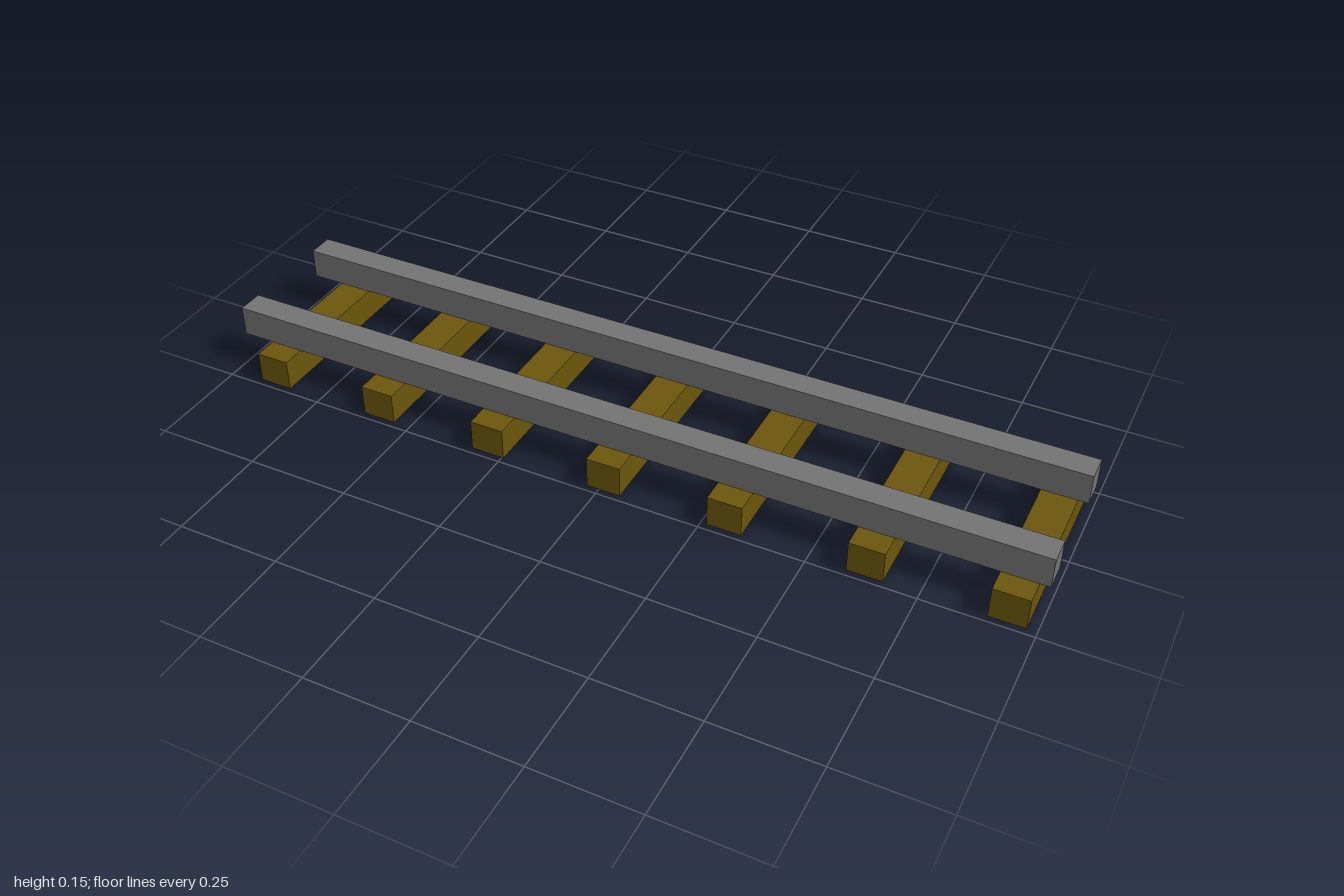
import * as THREE from 'three';

export function createModel() {
  const track = new THREE.Group();
  track.name = 'railwayTrack';

  const wood = new THREE.MeshStandardMaterial({ color: 0x6b560c, flatShading: true });
  const steel = new THREE.MeshStandardMaterial({ color: 0x737373, flatShading: true });

  const addPart = (name, geometry, material, x, y, z) => {
    const mesh = new THREE.Mesh(geometry, material);
    mesh.name = name;
    mesh.position.set(x, y, z);
    track.add(mesh);
  };

  // Wooden sleepers, slightly unevenly spaced along the track
  const sleeper = new THREE.BoxGeometry(0.082, 0.076, 0.468);
  [-0.88, -0.583, -0.287, 0.011, 0.305, 0.628, 0.936].forEach((x, i) =>
    addPart(`sleeper${i + 1}`, sleeper, wood, x, 0.038, 0));

  // Two square rails resting on the sleepers
  const rail = new THREE.BoxGeometry(2, 0.074, 0.064);
  addPart('frontRail', rail, steel, 0, 0.113, 0.145);
  addPart('backRail', rail, steel, 0, 0.113, -0.145);

  return track;
}
